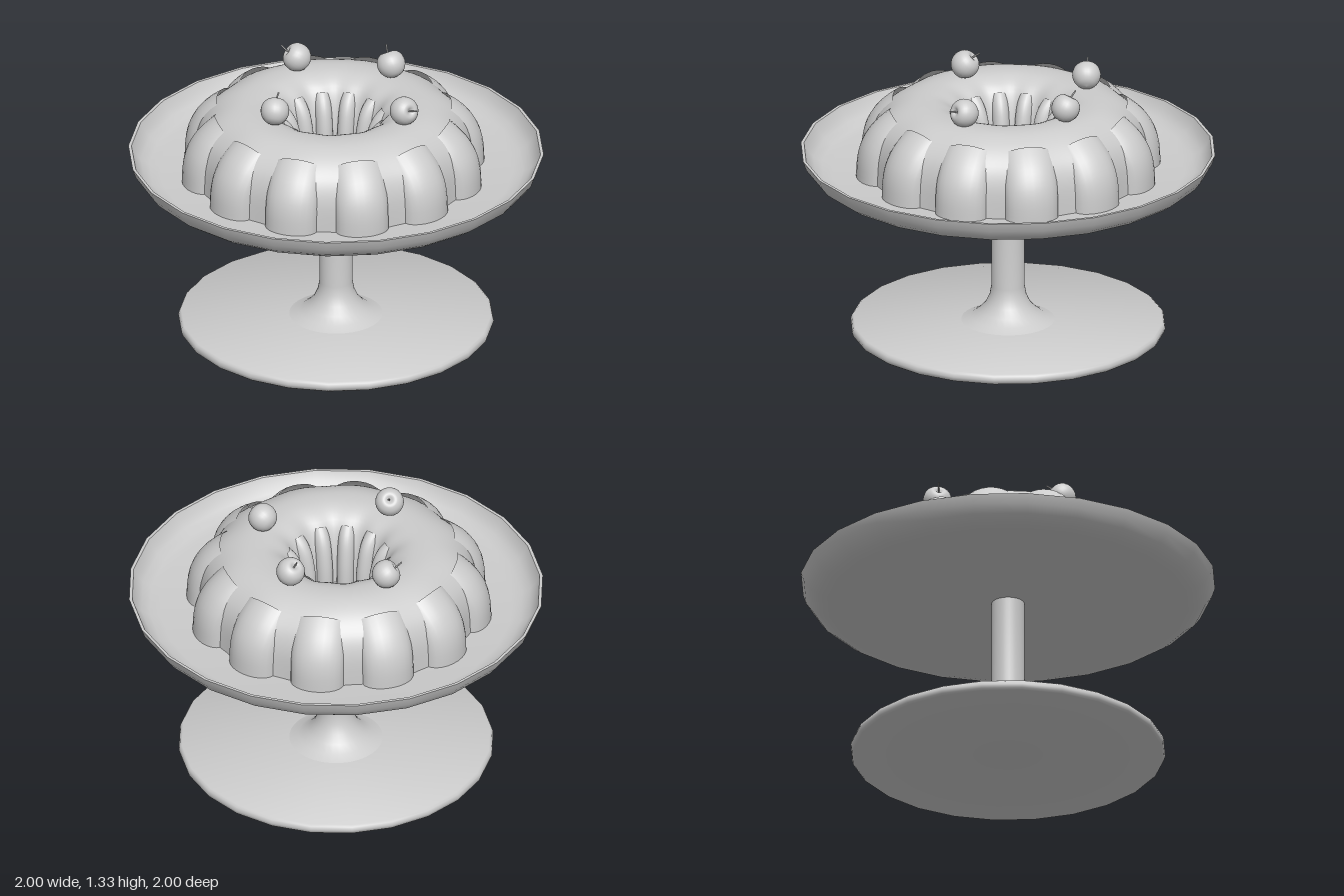
import * as THREE from 'three';
import { mergeVertices, toCreasedNormals } from 'three/addons/utils/BufferGeometryUtils.js';

const material = new THREE.MeshStandardMaterial({ color: 0xcccccc });
const sheetMaterial = new THREE.MeshStandardMaterial({ color: 0xcccccc, side: THREE.DoubleSide });
const V2 = (p) => new THREE.Vector2(p[0], p[1]);

function addMesh(parent, name, geometry, mat = material) {
  const mesh = new THREE.Mesh(geometry, mat);
  mesh.name = name;
  parent.add(mesh);
  return mesh;
}

function turned(points, sides) {
  return toCreasedNormals(new THREE.LatheGeometry(points.map(V2), sides), 0.7);
}

// A curved, bulging strip that climbs a radius/height profile
function fluteGeometry(profile, halfWidth, depth, inward) {
  const curve = new THREE.SplineCurve(profile.map(V2));
  const geometry = new THREE.PlaneGeometry(1, 1, 12, 14);
  const pos = geometry.attributes.position;
  for (let i = 0; i < pos.count; i++) {
    const t = pos.getY(i) + 0.5;
    const a = pos.getX(i) * Math.PI;
    const p = curve.getPoint(t);
    const tangent = curve.getTangent(t);
    const sink = depth * (1 - Math.cos(a));
    const side = inward ? -1 : 1;
    // The outward normal lies to the right of the climbing profile
    pos.setXYZ(i, side * halfWidth * Math.sin(a),
      p.y + side * tangent.x * sink,
      p.x - side * tangent.y * sink);
  }
  geometry.computeVertexNormals();
  return geometry;
}

function createCake() {
  const cake = new THREE.Group();
  cake.name = 'ringCake';
  cake.position.set(-0.01, 0, -0.01);

  // Ring body with a gentle scallop
  const profile = new THREE.SplineCurve([
    [0.68, 0.82], [0.672, 0.95], [0.645, 1.04], [0.6, 1.1], [0.54, 1.145], [0.47, 1.173],
    [0.4, 1.18], [0.33, 1.17], [0.265, 1.13], [0.225, 1.06], [0.195, 0.95], [0.185, 0.82],
  ].map(V2)).getPoints(36);
  let body = new THREE.LatheGeometry(profile, 96);
  body.deleteAttribute('uv');
  body.deleteAttribute('normal');
  const pos = body.attributes.position;
  for (let i = 0; i < pos.count; i++) {
    const x = pos.getX(i), z = pos.getZ(i);
    const r = Math.hypot(x, z);
    const angle = Math.atan2(x, z);
    const scale = (r + (r - 0.42) * 0.035 * Math.cos(12 * angle)) / r;
    pos.setXYZ(i, x * scale, pos.getY(i), z * scale);
  }
  body = mergeVertices(body, 1e-5);
  body.computeVertexNormals();
  addMesh(cake, 'cakeBody', body);

  // Twelve flutes on the outside and twelve in the hole
  const outer = fluteGeometry([[0.74, 0.82], [0.735, 0.91], [0.715, 0.99], [0.675, 1.06],
    [0.625, 1.112], [0.575, 1.15]], 0.13, 0.085, false);
  const inner = fluteGeometry([[0.148, 0.82], [0.155, 0.92], [0.175, 1.02], [0.203, 1.08],
    [0.24, 1.12]], 0.042, 0.05, true);
  for (let i = 0; i < 12; i++) {
    const angle = (i * Math.PI) / 6;
    addMesh(cake, 'outerFlute', outer, sheetMaterial).rotation.y = angle;
    addMesh(cake, 'innerFlute', inner, sheetMaterial).rotation.y = angle;
  }
  return cake;
}

// Cherry with a dimple and a short bent stalk
function createCherry(position, direction) {
  const cherry = new THREE.Group();
  cherry.name = 'cherry';
  const outline = new THREE.SplineCurve([[0, -0.068], [0.035, -0.059], [0.06, -0.033], [0.069, 0],
    [0.061, 0.034], [0.04, 0.055], [0.022, 0.057], [0.008, 0.047], [0, 0.042]].map(V2));
  const points = outline.getPoints(24);
  points.forEach((p) => { p.x = Math.max(p.x, 0); });
  addMesh(cherry, 'cherryFruit', new THREE.LatheGeometry(points, 24));
  const path = new THREE.CatmullRomCurve3([
    new THREE.Vector3(0, 0.035, 0), new THREE.Vector3(0.002, 0.065, 0), new THREE.Vector3(0.01, 0.097, 0),
  ]);
  addMesh(cherry, 'cherryStalk', new THREE.TubeGeometry(path, 6, 0.004, 6), sheetMaterial);
  cherry.position.set(...position);
  cherry.quaternion.setFromUnitVectors(new THREE.Vector3(0, 1, 0),
    new THREE.Vector3(...direction).normalize());
  return cherry;
}

export function createModel() {
  const model = new THREE.Group();
  model.name = 'cakeStand';

  // Foot disc
  addMesh(model, 'foot', turned([[0, 0], [0.745, 0], [0.755, 0.008], [0.76, 0.025],
    [0.755, 0.042], [0.745, 0.05], [0, 0.05]], 24));

  // Column flaring into the foot
  addMesh(model, 'column', turned([[0.225, 0.05], [0.18, 0.068], [0.14, 0.097], [0.108, 0.135],
    [0.088, 0.18], [0.08, 0.225], [0.08, 0.81]], 32));

  // Dished plate with a thin rim
  addMesh(model, 'plate', turned([[0, 0.8], [0.87, 0.8], [0.915, 0.812], [0.955, 0.84], [0.985, 0.88],
    [1, 0.925], [0.985, 0.925], [0.968, 0.885], [0.94, 0.853], [0.9, 0.83], [0.85, 0.82], [0, 0.82]], 24));

  model.add(createCake());

  // Cherries on top: position, stalk direction
  const cherries = [
    [[-0.365, 1.245, -0.035], [0.5, 0.65, -0.4]],
    [[0.39, 1.245, -0.035], [0.05, 0.8, -0.5]],
    [[0.11, 1.235, 0.365], [-0.08, 0.3, 0.9]],
    [[0.11, 1.24, -0.4], [-0.6, 0.55, -0.5]],
  ];
  for (const [position, direction] of cherries) model.add(createCherry(position, direction));
  return model;
}
